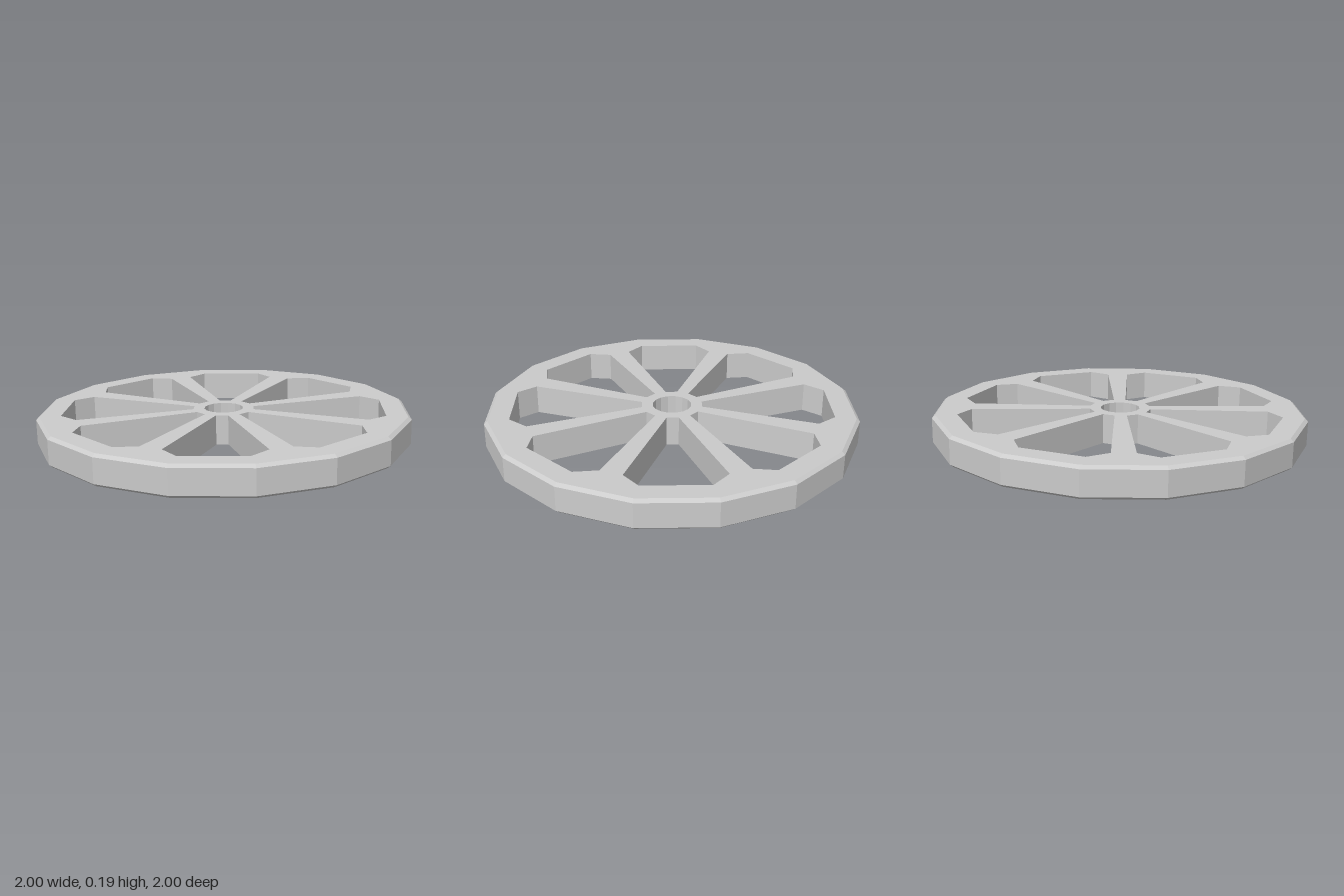
import * as THREE from 'three';

const SIDES = 16, SPOKES = 8;
const HALF = 0.08;                 // half thickness of the wheel
const BEVEL_IN = 0.018, BEVEL_H = 0.015;
const TILT = 0.0125;

const polar = (r, deg) => {
  const a = THREE.MathUtils.degToRad(deg);
  return new THREE.Vector2(r * Math.cos(a), r * Math.sin(a));
};
const ring = (r) => Array.from({ length: SIDES }, (_, i) => polar(r, (i * 360) / SIDES));

// Outline of one opening between two spokes: [radius, angle]
const OPENING = [[0.165, 0], [0.795, -6.7], [0.87, 0], [0.87, 22.5], [0.795, 29.7], [0.165, 22.5]];

export function createModel() {
  const group = new THREE.Group();
  group.name = 'wheel';

  // Disc with the axle hole and the openings that leave the spokes
  const rimInner = 1 - BEVEL_IN;
  const shape = new THREE.Shape(ring(rimInner));
  shape.holes.push(new THREE.Path(ring(0.105)));
  for (let i = 0; i < SPOKES; i++) {
    const turn = (i * 360) / SPOKES;
    shape.holes.push(new THREE.Path(OPENING.map(([r, a]) => polar(r, a + turn))));
  }
  const geometry = new THREE.ExtrudeGeometry(shape, { depth: 3, steps: 3, bevelEnabled: false });

  // Levels 1 and 2 push the rim outwards, giving a bevelled outer edge
  const heights = [-HALF, -HALF + BEVEL_H, HALF - BEVEL_H, HALF];
  const p = geometry.attributes.position;
  for (let i = 0; i < p.count; i++) {
    const level = Math.round(p.getZ(i));
    const onRim = Math.hypot(p.getX(i), p.getY(i)) > 0.9;
    const k = onRim && (level === 1 || level === 2) ? 1 / rimInner : 1;
    p.setXYZ(i, p.getX(i) * k, p.getY(i) * k, heights[level]);
  }
  geometry.rotateX(-Math.PI / 2);

  // Slight tilt: right and back sides sit a little higher
  geometry.rotateX(TILT);
  geometry.rotateZ(TILT);
  geometry.computeBoundingBox();
  geometry.translate(0, -geometry.boundingBox.min.y, 0);
  geometry.computeVertexNormals();

  const wheel = new THREE.Mesh(
    geometry,
    new THREE.MeshStandardMaterial({ color: 0xcccccc, flatShading: true })
  );
  wheel.name = 'spokedRim';
  group.add(wheel);
  return group;
}
